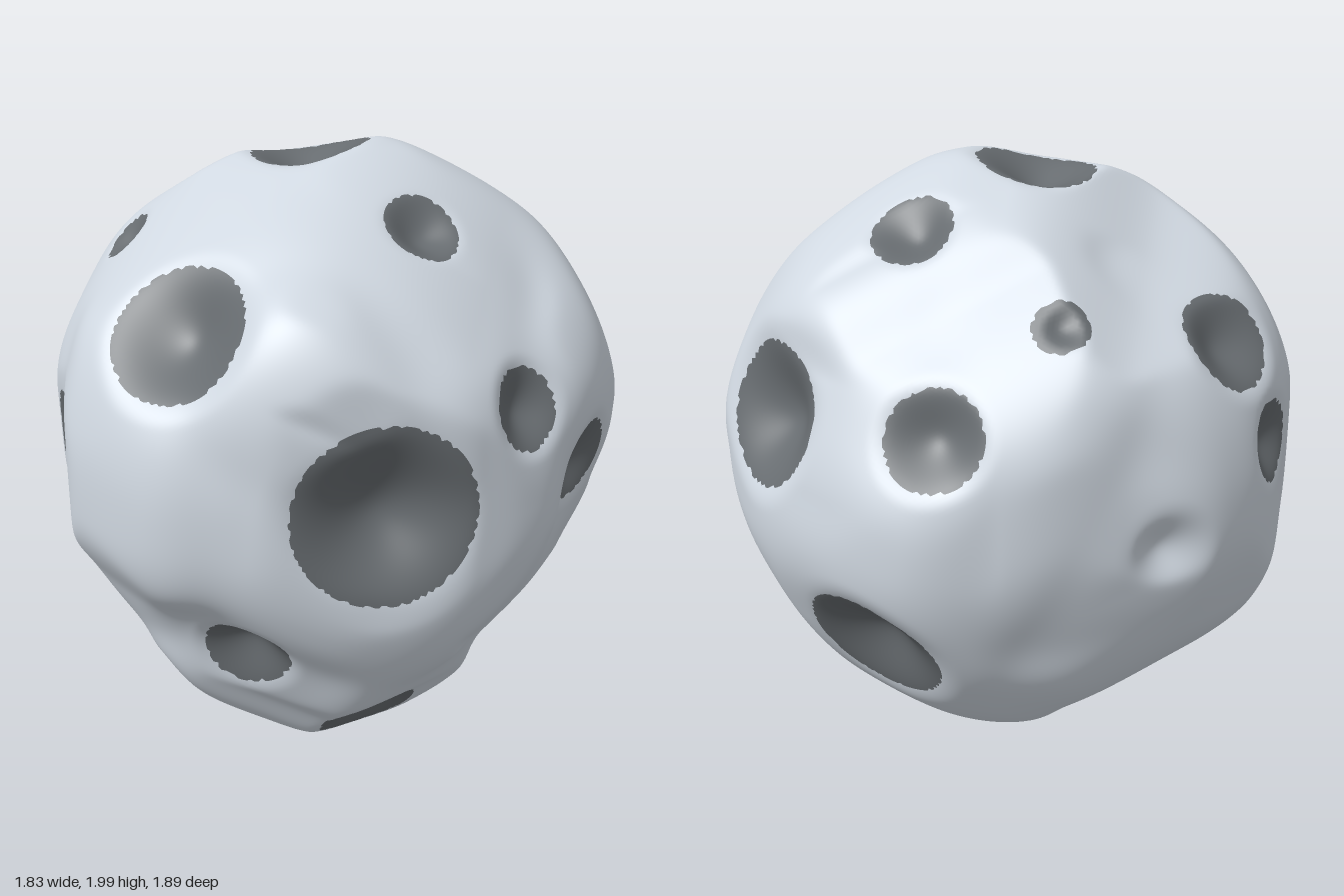
import * as THREE from 'three';
import { mergeVertices } from 'three/addons/utils/BufferGeometryUtils.js';

// Outlines of the lumpy body in six planes through its centre: [across, up]
const upright = [
  [0.1, 1], [0.51, 0.83], [0.75, 0.67], [0.88, 0.37], [0.92, 0.02], [0.83, -0.4], [0.59, -0.7], [0.33, -0.95],
  [0.17, -1], [-0.12, -0.94], [-0.49, -0.7], [-0.81, -0.36], [-0.92, 0.03], [-0.86, 0.34], [-0.57, 0.73], [-0.15, 0.97],
];
const sideways = [
  [-0.15, 1], [-0.44, 0.86], [-0.76, 0.65], [-0.82, 0.42], [-0.93, 0.11], [-0.95, -0.1], [-0.84, -0.4], [-0.6, -0.72],
  [-0.29, -0.92], [0.11, -1], [0.51, -0.83], [0.8, -0.35], [0.95, -0.04], [0.93, 0.24], [0.83, 0.5], [0.64, 0.69], [0.35, 0.87],
];
const level = [
  [-0.12, -0.96], [0.33, -0.91], [0.64, -0.76], [0.82, -0.48], [0.92, -0.15], [0.89, 0.13], [0.74, 0.43], [0.54, 0.71],
  [0.28, 0.91], [0.03, 0.95], [-0.31, 0.79], [-0.58, 0.66], [-0.76, 0.43], [-0.92, -0.07], [-0.78, -0.38], [-0.58, -0.69], [-0.38, -0.89],
];
const slantedA = [
  [0, 0.94], [0.29, 0.92], [0.62, 0.79], [0.82, 0.57], [0.955, 0.29], [0.965, 0.15], [0.82, -0.29], [0.62, -0.6], [0.455, -0.87],
  [0.15, -1.02], [-0.13, -0.98], [-0.38, -0.78], [-0.6, -0.57], [-0.77, -0.37], [-0.89, 0.1], [-0.88, 0.32], [-0.77, 0.54], [-0.405, 0.74],
];
const slantedB = [
  [-0.03, 0.93], [0.3, 0.87], [0.58, 0.71], [0.77, 0.49], [0.88, 0.24], [0.89, -0.07], [0.83, -0.4], [0.69, -0.62], [0.52, -0.73],
  [0.3, -0.87], [0, -0.945], [-0.26, -0.91], [-0.53, -0.79], [-0.73, -0.54], [-0.91, -0.12], [-0.965, 0.07], [-0.92, 0.32], [-0.59, 0.68],
];
const slantedC = [
  [-0.055, 1.005], [0.17, 0.96], [0.3, 0.88], [0.53, 0.68], [0.89, 0.27], [0.83, -0.23], [0.67, -0.57], [0.5, -0.745], [0.25, -0.855],
  [-0.22, -0.945], [-0.44, -0.87], [-0.58, -0.7], [-0.83, -0.32], [-0.87, -0.12], [-0.86, 0.27], [-0.88, 0.43], [-0.67, 0.78], [-0.44, 0.79],
];

// Craters: x, y, z of the middle of the mouth, radius
const craterList = [
  [0.2, 0.54, 0.68, 0.22], [-0.315, 0, 0.79, 0.23], [-0.37, 0.69, 0.5, 0.095], [0.36, -0.46, 0.58, 0.14], // front
  [-0.65, -0.26, 0.5, 0.15],
  [0.73, 0.06, 0.37, 0.275], [0.46, -0.81, 0.17, 0.165], [0.83, 0.31, -0.085, 0.13], // +x side
  [0.72, 0.03, -0.39, 0.125], [0.53, -0.57, -0.39, 0.215],
  [-0.05, 0.9, 0, 0.18], [0.457, 0.79, -0.02, 0.125], [0.01, 0.79, -0.457, 0.13], [-0.55, 0.625, -0.41, 0.09], // top
  [0.24, 0.25, -0.82, 0.22], [-0.37, 0.32, -0.74, 0.155], [-0.13, -0.41, -0.78, 0.235], // back
  [-0.74, 0.5, 0.11, 0.165], [-0.83, 0.17, 0.23, 0.13], // -x side
  [-0.37, -0.81, 0.18, 0.16], // underside
];
const paleDent = [-0.85, -0.04, -0.26, 0.13];

const bowlDepth = (c, angle) => 0.5 * c.r * (1 - THREE.MathUtils.smoothstep(angle / c.angle, 0, 1.3));

function makeCrater([x, y, z, r]) {
  const dir = new THREE.Vector3(x, y, z);
  const distance = dir.length();
  return { dir: dir.normalize(), r, angle: Math.atan(r / distance), rim: Math.hypot(r, distance) };
}

// A plane through the centre with a smooth closed outline in it
function makeOutline(azimuth, tilt, points) {
  const a = THREE.MathUtils.degToRad(azimuth);
  const normal = new THREE.Vector3().setFromSphericalCoords(1, THREE.MathUtils.degToRad(90 - tilt), a);
  const right = new THREE.Vector3(Math.cos(a), 0, -Math.sin(a));
  const up = normal.clone().cross(right);
  const polar = points.map(([u, v]) => ({ a: Math.atan2(v, u), r: Math.hypot(u, v) })).sort((p, q) => p.a - q.a);
  polar.push({ a: polar[0].a + 2 * Math.PI, r: polar[0].r });
  // Farthest the body may reach in a direction without crossing this outline
  const limit = (dir) => {
    const u = dir.dot(right), v = dir.dot(up), across = Math.hypot(u, v);
    if (across < 0.3) return 4;
    let angle = Math.atan2(v, u);
    if (angle < polar[0].a) angle += 2 * Math.PI;
    const i = Math.max(1, polar.findIndex((p) => p.a >= angle));
    const t = THREE.MathUtils.smoothstep(angle, polar[i - 1].a, polar[i].a);
    return THREE.MathUtils.lerp(polar[i - 1].r, polar[i].r, t) / across;
  };
  const corners = points.map(([u, v]) => right.clone().multiplyScalar(u).addScaledVector(up, v));
  return { normal, limit, corners };
}

export function createModel() {
  const craters = craterList.map(makeCrater);
  const dents = [...craters, makeCrater(paleDent)];
  const depthAt = (dir) => Math.max(...dents.map((c) => bowlDepth(c, dir.angleTo(c.dir))));
  const outlines = [
    makeOutline(0, 0, upright), makeOutline(-90, 0, sideways), makeOutline(0, -90, level),
    makeOutline(35, 26, slantedA), makeOutline(215, 26, slantedB), makeOutline(145, -26, slantedC),
  ];

  // Knots at the crater rims, and at outline corners slid to where they fit the other outlines best
  const knots = dents.map((c) => ({ dir: c.dir, radius: c.rim + bowlDepth(c, c.angle) }));
  for (const { normal, corners } of outlines) {
    for (const corner of corners) {
      let best = { cost: Infinity };
      for (let slide = -0.4; slide < 0.41; slide += 0.05) {
        const dir = corner.clone().addScaledVector(normal, slide);
        const length = dir.length();
        dir.normalize();
        const reach = Math.min(...outlines.map((o) => o.limit(dir)));
        const depth = depthAt(dir);
        const cost = Math.max(0, length - reach) + depth + 0.1 * slide * slide;
        if (cost < best.cost) best = { cost, dir, radius: Math.min(length, reach) + depth };
      }
      knots.push(best);
    }
  }

  // Smooth blend of the knots, sharpened twice so that it passes close to them
  const blend = (dir) => {
    let weight = 0.03, sum = 0.03 * 0.93;
    for (const k of knots) {
      const w = Math.exp(42 * (k.dir.dot(dir) - 1));
      weight += w;
      sum += w * k.value;
    }
    return sum / weight;
  };
  for (const k of knots) k.value = k.radius;
  for (let pass = 0; pass < 2; pass++) {
    const misses = knots.map((k) => k.radius - blend(k.dir));
    knots.forEach((k, i) => { k.value += 0.7 * misses[i]; });
  }

  // Blended body with its craters, softly held inside the outlines
  const surfaceRadius = (dir) => {
    let radius = blend(dir) - depthAt(dir);
    for (const o of outlines) radius -= Math.log1p(Math.exp(200 * (radius - o.limit(dir)))) / 200;
    return radius;
  };

  // Fine sphere shaped by the surface rule
  const sphere = new THREE.IcosahedronGeometry(1, 75);
  sphere.deleteAttribute('normal');
  sphere.deleteAttribute('uv');
  const geometry = mergeVertices(sphere, 1e-5);
  const pos = geometry.attributes.position;
  const inCrater = [];
  const v = new THREE.Vector3();
  for (let i = 0; i < pos.count; i++) {
    v.fromBufferAttribute(pos, i).normalize();
    // Pull points near a crater edge onto it for a clean line
    for (const c of craters) {
      if (Math.abs(v.angleTo(c.dir) - c.angle) > 0.005) continue;
      v.addScaledVector(c.dir, -v.dot(c.dir)).normalize();
      v.multiplyScalar(Math.sin(c.angle)).addScaledVector(c.dir, Math.cos(c.angle));
    }
    inCrater.push(craters.some((c) => v.angleTo(c.dir) < c.angle + 1e-4));
    v.multiplyScalar(surfaceRadius(v));
    pos.setXYZ(i, v.x, v.y + 1, v.z);
  }
  geometry.computeVertexNormals();

  // Split the faces into pale rock and dark crater floors, keeping shared normals
  const rockFaces = [], floorFaces = [];
  const index = geometry.index;
  for (let i = 0; i < index.count; i += 3) {
    const face = [index.getX(i), index.getX(i + 1), index.getX(i + 2)];
    (face.every((k) => inCrater[k]) ? floorFaces : rockFaces).push(...face);
  }

  const rock = new THREE.MeshStandardMaterial({ color: 0xd0d8e1 });
  rock.name = 'pale rock';
  const floor = new THREE.MeshStandardMaterial({ color: 0x676c70 });
  floor.name = 'dark crater floor';

  const group = new THREE.Group();
  group.name = 'asteroid';
  const addPart = (name, faces, material) => {
    const part = new THREE.BufferGeometry();
    part.setAttribute('position', pos);
    part.setAttribute('normal', geometry.attributes.normal);
    part.setIndex(faces);
    const mesh = new THREE.Mesh(part, material);
    mesh.name = name;
    group.add(mesh);
  };
  addPart('rockSurface', rockFaces, rock);
  addPart('craterFloors', floorFaces, floor);
  return group;
}
